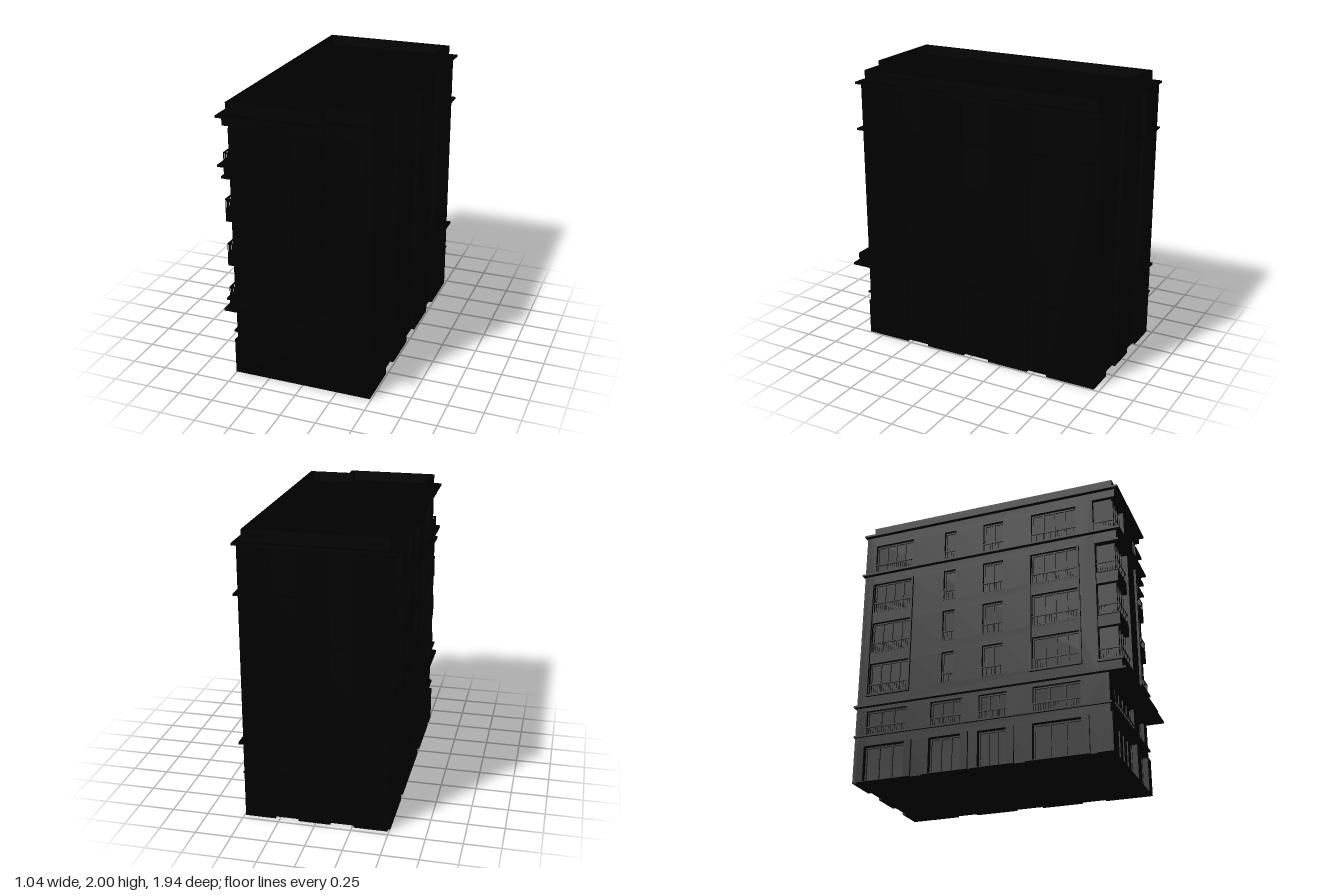
import * as THREE from 'three';
import { mergeGeometries } from 'three/addons/utils/BufferGeometryUtils.js';

const mat = new THREE.MeshStandardMaterial({ color: 0x000000 });
const FLOORS = [0.62, 0.94, 1.26, 1.58];
const TOP = 1.92, BELT = 0.545;

function add(parent, name, geometry) {
  const mesh = new THREE.Mesh(geometry, mat);
  mesh.name = name;
  parent.add(mesh);
  return mesh;
}

// Box given by its limits
function boxGeo(x0, x1, y0, y1, z0, z1) {
  return new THREE.BoxGeometry(x1 - x0, y1 - y0, z1 - z0)
    .translate((x0 + x1) / 2, (y0 + y1) / 2, (z0 + z1) / 2);
}
const box = (parent, name, ...limits) => add(parent, name, boxGeo(...limits));

// Stepped building outline, grown by o (back edge by b)
function footprint(o, b = o, notch = true) {
  const l = -0.49 - o, r = 0.49 + o, back = -0.96 - b, front = 0.94 + o;
  return notch
    ? [[l, back], [l, front], [0.19 + o, front], [0.19 + o, 0.85 + o], [r, 0.85 + o], [r, back]]
    : [[l, back], [l, front], [r, front], [r, back]];
}
const toPoints = pts => pts.map(([x, z]) => new THREE.Vector2(x, -z));

// Horizontal slab or ring from an outline
function slab(parent, name, pts, y0, y1, hole) {
  const shape = new THREE.Shape(toPoints(pts));
  if (hole) shape.holes.push(new THREE.Path(toPoints(hole)));
  const g = new THREE.ExtrudeGeometry(shape, { depth: y1 - y0, bevelEnabled: false });
  return add(parent, name, g.rotateX(-Math.PI / 2).translate(0, y0, 0));
}

// Wall panel with rectangular openings [u0, u1, v0, v1], outer face at w
function wall(parent, name, u0, u1, v0, v1, w, openings, depth = 0.03) {
  const rect = (C, a, b, c, d) => new C([[a, c], [b, c], [b, d], [a, d]].map(p => new THREE.Vector2(...p)));
  const shape = rect(THREE.Shape, u0, u1, v0, v1);
  openings.forEach(o => shape.holes.push(rect(THREE.Path, ...o)));
  const g = new THREE.ExtrudeGeometry(shape, { depth, bevelEnabled: false });
  return add(parent, name, g.translate(0, 0, w - depth));
}

// Balustrade with top rail, bottom rail and bars
function railing(parent, u0, u1, v, w, h = 0.075) {
  const parts = [boxGeo(u0, u1, v + h - 0.008, v + h, w - 0.008, w),
    boxGeo(u0, u1, v, v + 0.006, w - 0.008, w)];
  const n = Math.max(2, Math.round((u1 - u0) / 0.017));
  for (let i = 0; i <= n; i++) {
    const u = u0 + 0.002 + (u1 - u0 - 0.004) * i / n;
    parts.push(boxGeo(u - 0.002, u + 0.002, v, v + h, w - 0.006, w - 0.002));
  }
  add(parent, 'railing', mergeGeometries(parts));
}

// Window bars lying on the glass plane
function windowFrame(parent, u0, u1, v0, v1, w, panes) {
  const t = 0.005, parts = [];
  for (let i = 0; i <= panes; i++) {
    const u = u0 + t + (u1 - u0 - 2 * t) * i / panes;
    parts.push(boxGeo(u - t, u + t, v0, v1, w, w + 0.008));
  }
  for (const v of [v0, v1 - 2 * t]) parts.push(boxGeo(u0, u1, v, v + 2 * t, w, w + 0.008));
  add(parent, 'windowFrame', mergeGeometries(parts));
}

// Raised surround enclosing a column of windows
function surround(parent, u0, u1, w) {
  wall(parent, 'windowSurround', u0, u1, 0.62, 1.51, w,
    [[u0 + 0.012, u1 - 0.012, 0.632, 1.498]], 0.02);
}

export function createModel() {
  const model = new THREE.Group();
  model.name = 'building';
  const side = (name, angle) => {
    const g = new THREE.Group();
    g.name = name;
    g.rotation.y = angle;
    model.add(g);
    return g;
  };
  const front = side('frontFacade', 0);
  const left = side('leftFacade', Math.PI / 2);
  const back = side('backFacade', Math.PI);
  const street = side('rightFacade', -Math.PI / 2);

  // Cores whose faces act as the glass behind the openings
  box(model, 'lowerCore', -0.46, 0.465, 0, BELT, -0.935, 0.82);
  slab(model, 'upperCore', footprint(-0.03, -0.025), BELT, TOP);

  // Ledges, roof and parapet
  slab(model, 'beltLedge', footprint(0.03, 0.01, false), 0.538, 0.553);
  slab(model, 'upperLedge', footprint(0.03, 0.01), 1.578, 1.592);
  slab(model, 'corniceLedge', footprint(0.03, 0.01), 1.907, 1.922);
  box(model, 'lowerLedge', -0.505, 0.495, 0.323, 0.335, -0.965, 0.867);
  slab(model, 'roof', footprint(-0.03, -0.05), TOP, 1.935);
  slab(model, 'parapet', footprint(-0.02, -0.045), TOP, 2, footprint(-0.05, -0.075));

  // Front, ground and first floor
  const shops = [[-0.4, 0.11, 0.005, 0.25], [0.21, 0.4, 0.005, 0.25]];
  wall(front, 'groundWall', -0.505, 0.49, 0, 0.26, 0.865, shops, 0.045);
  shops.forEach((s, i) => windowFrame(front, ...s, 0.82, i ? 2 : 5));
  const firstFloor = [[-0.37, 0.12, 0.335, 0.51], [0.21, 0.4, 0.335, 0.51]];
  wall(front, 'firstFloorWall', -0.49, 0.49, 0.26, BELT, 0.85, firstFloor);
  firstFloor.forEach((s, i) => windowFrame(front, ...s, 0.82, i ? 2 : 5));
  railing(front, -0.37, 0.12, 0.335, 0.85, 0.06);

  // Front, overhanging bay with glazed corners
  box(front, 'bayWall', -0.26, -0.03, BELT, TOP, 0.89, 0.94);
  const corners = [
    { x0: -0.49, x1: -0.26, z0: 0.78, out: -1 },
    { x0: -0.03, x1: 0.19, z0: 0.85, out: 1 },
  ];
  for (const { x0, x1, z0, out } of corners) {
    const ox0 = out < 0 ? x0 - 0.015 : x0, ox1 = out > 0 ? x1 + 0.01 : x1;
    box(model, 'baySill', x0, x1, BELT, 0.63, z0, 0.94);
    box(model, 'bayHead', x0, x1, 1.85, TOP, z0, 0.94);
    box(model, 'bayBand', ox0, ox1, 0.615, 0.63, z0, 0.955);
    box(model, 'bayBand', ox0, ox1, 1.495, 1.51, z0, 0.955);
    const inner = out < 0 ? x1 : x0;
    box(model, 'bayFin', inner - 0.007, inner + 0.007, 0.62, 1.51, 0.9, 0.955);
    for (const f of FLOORS) {
      if (f > 0.7) box(model, 'baySpandrel', x0, x1, f - 0.07, f + 0.01, z0, 0.94);
      windowFrame(front, x0 + 0.03, x1 - 0.03, f + 0.01, f + 0.25, 0.91, 3);
      railing(front, x0, x1, f + 0.015, 0.94);
      if (out < 0) railing(street, z0, 0.94, f + 0.015, 0.49);
      else railing(left, -0.94, -z0, f + 0.015, 0.19);
    }
  }
  box(street, 'bayFin', 0.775, 0.79, 0.62, 1.51, 0.46, 0.505);

  // Front, set-back wing and its terrace
  const wing = FLOORS.map(f => [0.3, 0.4, f + 0.01, f + 0.25]);
  wall(front, 'wingWall', 0.18, 0.49, BELT, TOP, 0.85, wing);
  wing.forEach(o => {
    windowFrame(front, ...o, 0.82, 1);
    railing(front, 0.3, 0.4, o[2], 0.85);
  });
  box(model, 'terraceParapet', 0.19, 0.49, 0.55, 0.625, 0.92, 0.94);
  box(model, 'terraceParapet', 0.47, 0.49, 0.55, 0.625, 0.85, 0.92);

  // Street side: columns of windows [z0, z1, panes, raised surround]
  const columns = [[-0.88, -0.58, 4, true], [-0.33, -0.24, 1, false],
    [-0.03, 0.12, 2, false], [0.33, 0.66, 4, true]];
  const windows = [];
  for (const [z0, z1, panes, raised] of columns) {
    if (raised) surround(street, z0 - 0.015, z1 + 0.015, 0.505);
    for (const f of FLOORS) {
      const o = [z0, z1, f + 0.015, f + 0.25];
      windows.push(o);
      windowFrame(street, ...o, 0.46, panes);
      railing(street, z0, z1, f + 0.015, 0.492);
    }
  }
  wall(street, 'upperWall', -0.96, 0.78, BELT, TOP, 0.49, windows);
  const low = [[-0.88, -0.58], [-0.4, -0.17], [-0.05, 0.15], [0.33, 0.66]];
  const lowWindows = low.map(([a, b]) => [a, b, 0.335, 0.51]);
  const doors = low.map(([a, b]) => [a, b, 0.005, 0.25]);
  wall(street, 'firstFloorWall', -0.96, 0.85, 0, BELT, 0.49, [...lowWindows, ...doors]);
  [...lowWindows, ...doors].forEach(o => windowFrame(street, ...o, 0.46, 3));
  low.forEach(([a, b]) => {
    railing(street, a, b, 0.335, 0.492, 0.06);
    wall(street, 'doorSurround', a - 0.05, b + 0.05, 0, 0.26, 0.505, [[a, b, 0.005, 0.25]], 0.016);
  });
  box(street, 'cornerPier', 0.76, 0.86, 0, 0.26, 0.46, 0.505);

  // Plain sides: wall piers between full-height recessed strips
  const plain = (parent, w, u0, u1, strips) => {
    let start = u0;
    for (const [a, b] of [...strips, [u1, u1]]) {
      box(parent, 'wallPier', start, a, 0, TOP, w - 0.03, w);
      start = b;
    }
    for (const [a, b] of strips)
      for (const f of FLOORS.slice(0, 3))
        box(parent, 'stripSpandrel', a, b, f - 0.01, f + 0.01, w - 0.03, w - 0.012);
  };
  plain(left, 0.49, -0.85, 0.96, [[-0.53, -0.36], [-0.06, 0.14], [0.45, 0.6]]);
  plain(back, 0.96, -0.49, 0.49, [[-0.28, -0.12], [0.1, 0.26]]);

  return model;
}
